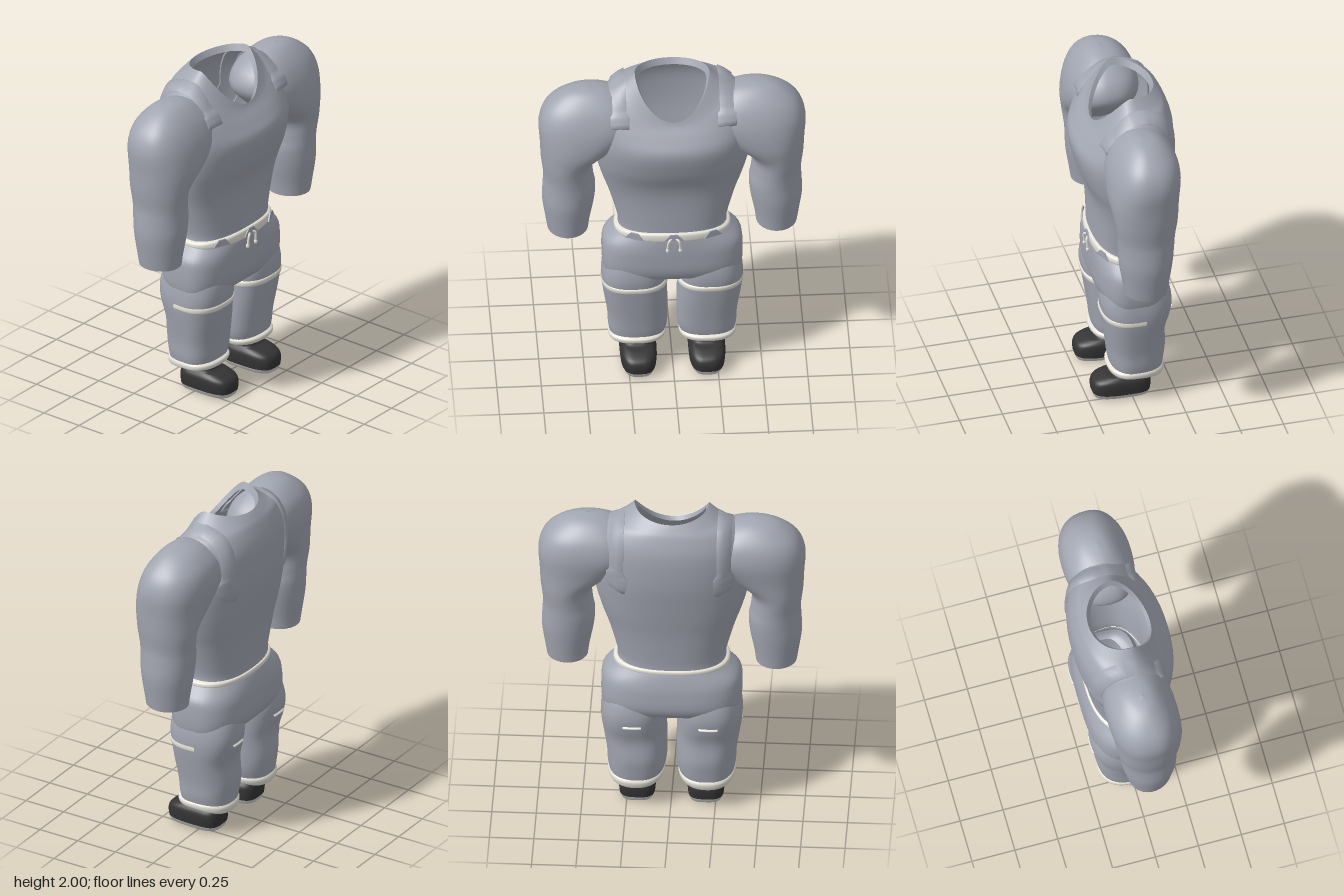
import * as THREE from 'three';

const mat = (name, color) => {
  const m = new THREE.MeshStandardMaterial({ color, side: THREE.DoubleSide });
  m.name = name;
  return m;
};

// Grid of vertices to a smooth surface; rows may close on themselves.
function skin(rows, closed) {
  const n = rows[0].length, idx = [];
  for (let i = 0; i < rows.length - 1; i++) {
    for (let j = 0; j < (closed ? n : n - 1); j++) {
      const k = (j + 1) % n, a = i * n + j, b = i * n + k;
      idx.push(a, a + n, b, b, a + n, b + n);
    }
  }
  const g = new THREE.BufferGeometry();
  g.setAttribute('position', new THREE.Float32BufferAttribute(rows.flat(2), 3));
  g.setIndex(idx);
  g.computeVertexNormals();
  return g;
}

// Ring: heights at side, front and back, half width, front z, back z, centre x, roundness.
const tilted = (yS, yF, yB, rx, zf, zb, cx = 0, p = 2.4) => [yS, yF, yB, rx, zf, zb, cx, p];
const flat = (y, rx, zf, zb, cx = 0, p = 2.4) => tilted(y, y, y, rx, zf, zb, cx, p);

function ringPoint([yS, yF, yB, rx, zf, zb, cx, p], t) {
  const c = Math.cos(t), s = Math.sin(t);
  const power = v => Math.sign(v) * Math.abs(v) ** (2 / p);
  return [cx + rx * power(c), yS + ((s > 0 ? yF : yB) - yS) * Math.abs(s) ** 1.4,
    power(Math.abs(s)) * (s > 0 ? zf : zb)];
}

// Smoothly blended loft through rings listed from bottom to top.
function loft(rings, { steps = 4, segs = 48, from = 0, to = Math.PI * 2 } = {}) {
  const closed = to - from > 6.28, rows = [];
  const at = i => rings[Math.max(0, Math.min(rings.length - 1, i))];
  for (let i = 0; i < (rings.length - 1) * steps + 1; i++) {
    const k = Math.floor(i / steps), f = (i % steps) / steps;
    const ring = at(k).map((b, q) => {
      const a = at(k - 1)[q], c = at(k + 1)[q], d = at(k + 2)[q];
      return b + 0.5 * f * (c - a + f * (2 * a - 5 * b + 4 * c - d + f * (3 * (b - c) + d - a)));
    });
    rows.push(Array.from({ length: closed ? segs : segs + 1 },
      (_, j) => ringPoint(ring, from + (to - from) * j / segs)));
  }
  return skin(rows, closed);
}

export function createModel() {
  const root = new THREE.Group();
  const cloth = mat('grey cloth', 0xa2a6b1), trim = mat('off-white trim', 0xe4e2d8);
  const leather = mat('black shoe', 0x343434), sole = mat('light sole', 0xcfcfcf);
  const add = (name, geo, material) => {
    const m = new THREE.Mesh(geo, material);
    m.name = name;
    root.add(m);
    return m;
  };

  // Shirt body, open at the neck and hem
  const torso = add('torso', loft([
    flat(0.96, 0.31, 0.175, -0.195), flat(1.02, 0.308, 0.175, -0.197),
    flat(1.2, 0.355, 0.18, -0.217), flat(1.32, 0.395, 0.2, -0.237),
    flat(1.45, 0.43, 0.25, -0.258, 0, 2.3), flat(1.6, 0.45, 0.28, -0.278, 0, 2.2),
    tilted(1.77, 1.68, 1.78, 0.445, 0.24, -0.275, 0, 2.2), tilted(1.885, 1.74, 1.89, 0.37, 0.195, -0.238, 0, 2.3),
    tilted(1.93, 1.76, 1.935, 0.285, 0.182, -0.21, 0, 2.2), tilted(2, 1.775, 1.965, 0.21, 0.175, -0.185, 0, 2),
  ]), cloth);

  // Turned-in collar lip
  add('collar', loft([
    tilted(1.96, 1.755, 1.93, 0.193, 0.158, -0.165, 0, 2), tilted(2, 1.775, 1.965, 0.21, 0.175, -0.185, 0, 2),
  ], { steps: 1 }), cloth);

  // Hips, tucked under between the thighs
  add('hips', loft([
    flat(0.632, 0.36, 0.11, -0.15, 0, 2.9), flat(0.655, 0.382, 0.155, -0.205, 0, 3),
    flat(0.72, 0.395, 0.182, -0.238, 0, 3),
    flat(0.82, 0.396, 0.187, -0.236, 0, 2.9), flat(0.88, 0.384, 0.186, -0.225, 0, 2.7),
    flat(0.935, 0.335, 0.182, -0.207), flat(0.955, 0.315, 0.175, -0.196),
  ]), cloth);
  add('waistband', loft([
    flat(0.935, 0.318, 0.175, -0.195), flat(0.945, 0.328, 0.19, -0.204),
    tilted(0.965, 0.987, 0.965, 0.325, 0.19, -0.204), tilted(0.975, 0.996, 0.972, 0.305, 0.172, -0.19),
  ]), trim);

  // Crotch bridge between the two leg openings
  const bridge = [];
  for (let i = 0; i <= 16; i++) {
    const z = -0.17 + i * 0.018, t = Math.abs(z) / (z > 0 ? 0.172 : 0.232);
    const w = 0.217 - 0.18 * (1 - t ** 2.5) ** 0.4;
    bridge.push([-1, -0.5, 0, 0.5, 1].map(u => [u * w, 0.65 - 0.025 * u * u, z]));
  }
  add('crotch', skin(bridge, false), cloth);

  // Small cloth tabs on the waistband
  const tab = new THREE.Shape([[-0.055, -0.02], [0.055, -0.02], [0.02, 0.02], [-0.02, 0.02]]
    .map(([x, y]) => new THREE.Vector2(x, y)));
  const tabGeo = new THREE.ExtrudeGeometry(tab, { depth: 0.008, bevelEnabled: false });
  for (const s of [-1, 0, 1]) {
    const m = add('waistTab', tabGeo, cloth);
    m.position.set(s * 0.22, 0.973, s ? 0.157 : 0.188);
    m.rotation.y = s * 0.4;
  }

  const ray = new THREE.Raycaster();
  for (const s of [-1, 1]) {
    const side = s > 0 ? 'left' : 'right';
    const mirror = rings => rings.map(r => r.map((v, q) => (q === 6 ? v * s : v)));

    // Sleeve with a rounded shoulder reaching into the chest, open at the wrist
    const sleeve = add(side + 'Sleeve', loft(mirror([
      flat(0.95, 0.115, 0.13, -0.115, 0.587, 2), flat(1.02, 0.125, 0.14, -0.125, 0.588, 2),
      flat(1.15, 0.146, 0.16, -0.145, 0.585, 2), flat(1.25, 0.148, 0.165, -0.155, 0.58, 2),
      flat(1.33, 0.14, 0.17, -0.16, 0.585, 2), flat(1.44, 0.15, 0.185, -0.175, 0.588, 2),
      flat(1.56, 0.22, 0.203, -0.19, 0.524, 2.3), flat(1.69, 0.285, 0.192, -0.208, 0.465, 2.4),
      flat(1.79, 0.26, 0.155, -0.19, 0.456, 2.4), flat(1.86, 0.185, 0.105, -0.14, 0.46, 2.2),
      flat(1.9, 0.1, 0.055, -0.08, 0.466, 2), flat(1.913, 0.002, 0.002, -0.002, 0.472, 2),
    ])), cloth);

    // Trouser leg, running up inside the hips
    add(side + 'Leg', loft(mirror([
      tilted(0.175, 0.19, 0.15, 0.145, 0.11, -0.175, 0.2, 2.4), flat(0.25, 0.165, 0.122, -0.19, 0.195, 2.4),
      flat(0.34, 0.17, 0.133, -0.2, 0.195, 2.4), flat(0.46, 0.178, 0.15, -0.194, 0.205, 2.5),
      flat(0.56, 0.183, 0.163, -0.22, 0.214, 2.5), flat(0.64, 0.182, 0.173, -0.232, 0.215, 2.5),
      flat(0.72, 0.172, 0.165, -0.22, 0.212, 2.5), flat(0.79, 0.155, 0.14, -0.19, 0.205, 2.5),
    ])), cloth);

    // Thigh stripe across the front and outer side, with a short piece behind
    const band = mirror([
      flat(0.558, 0.176, 0.157, -0.21, 0.212, 2.5), flat(0.566, 0.187, 0.17, -0.226, 0.212, 2.5),
      flat(0.59, 0.187, 0.174, -0.228, 0.212, 2.5), flat(0.602, 0.178, 0.162, -0.215, 0.213, 2.5),
    ]);
    add(side + 'ThighBand', loft(band, { from: s > 0 ? -0.15 : -0.1, to: Math.PI + (s > 0 ? 0.1 : 0.15) }), trim);
    const sliver = [0.575, 0.588, 0.601].map((y, i) =>
      flat(y, 0.184, 0.16, i === 1 ? -0.236 : -0.222, s * 0.214, 2.5));
    add(side + 'RearBand', loft(sliver, { from: 4.5, to: 4.92, segs: 8 }), trim);

    // Rolled ankle cuff, lower at the heel
    add(side + 'Cuff', loft(mirror([
      tilted(0.175, 0.18, 0.145, 0.135, 0.105, -0.165, 0.2), tilted(0.18, 0.185, 0.15, 0.156, 0.128, -0.183, 0.2),
      tilted(0.205, 0.21, 0.185, 0.162, 0.134, -0.192, 0.198), tilted(0.22, 0.222, 0.205, 0.15, 0.115, -0.18, 0.198),
    ])), trim);

    // Shoe with open top, sole and insole
    const shoeRing = (y, rx, zf, zb) => flat(y, rx, zf, zb, 0.193, 3.2);
    add(side + 'Sole', loft(mirror([
      shoeRing(0.004, 0.002, 0.002, -0.002), shoeRing(0.004, 0.075, 0.195, -0.09),
      shoeRing(0.012, 0.09, 0.21, -0.105), shoeRing(0.036, 0.1, 0.218, -0.112),
    ]), { steps: 1 }), sole);
    add(side + 'Shoe', loft(mirror([
      shoeRing(0.036, 0.1, 0.218, -0.112), shoeRing(0.08, 0.104, 0.222, -0.116),
      shoeRing(0.115, 0.101, 0.205, -0.112), shoeRing(0.138, 0.088, 0.15, -0.1),
      shoeRing(0.15, 0.082, 0.095, -0.095), shoeRing(0.19, 0.085, 0.09, -0.105),
    ])), leather);
    add(side + 'Insole', loft(mirror([
      shoeRing(0.06, 0.002, 0.002, -0.002), shoeRing(0.061, 0.098, 0.21, -0.11),
    ]), { steps: 1 }), sole);

    // Shoulder strap: wide front patch, flush over the top, pointed tab at the back
    const strap = [];
    for (let i = 0; i <= 32; i++) {
      const f = i / 32, a = THREE.MathUtils.lerp(0.16, 3.9, f);
      const half = f < 0.15 ? 0.055 : f < 0.86 ? 0.042 : f < 0.95 ? 0.062 : 0.062 - (f - 0.95) * 0.7;
      const height = f > 0.15 && f < 0.42 ? 0.003 : 0.012;
      strap.push([1, 0.92, 0, -0.92, -1].map(u => {
        const center = new THREE.Vector3(s * 0.302 + u * half, 1.7, 0);
        const dir = new THREE.Vector3(0, Math.sin(a), Math.cos(a));
        ray.set(center.clone().add(dir), dir.clone().negate());
        const hit = ray.intersectObjects([torso, sleeve])[0];
        const lift = Math.abs(u) === 1 || i === 0 || i === 32 ? -0.01 : height;
        return center.addScaledVector(dir, (hit ? 1 - hit.distance : 0.2) + lift).toArray();
      }));
    }
    add(side + 'Strap', skin(strap, false), cloth);

    // Drawstring with a knotted end
    const cord = new THREE.CatmullRomCurve3([[0.012, 0.965, 0.19], [0.028, 0.955, 0.202], [0.034, 0.92, 0.2], [0.036, 0.89, 0.198]]
      .map(([x, y, z]) => new THREE.Vector3(s * x, y, z)));
    add(side + 'Drawstring', new THREE.TubeGeometry(cord, 12, 0.007, 8), trim);
    const knot = add(side + 'DrawstringEnd', new THREE.SphereGeometry(0.011, 12, 8), trim);
    knot.position.set(s * 0.036, 0.89, 0.198);
    knot.scale.y = 1.4;
  }
  return root;
}
